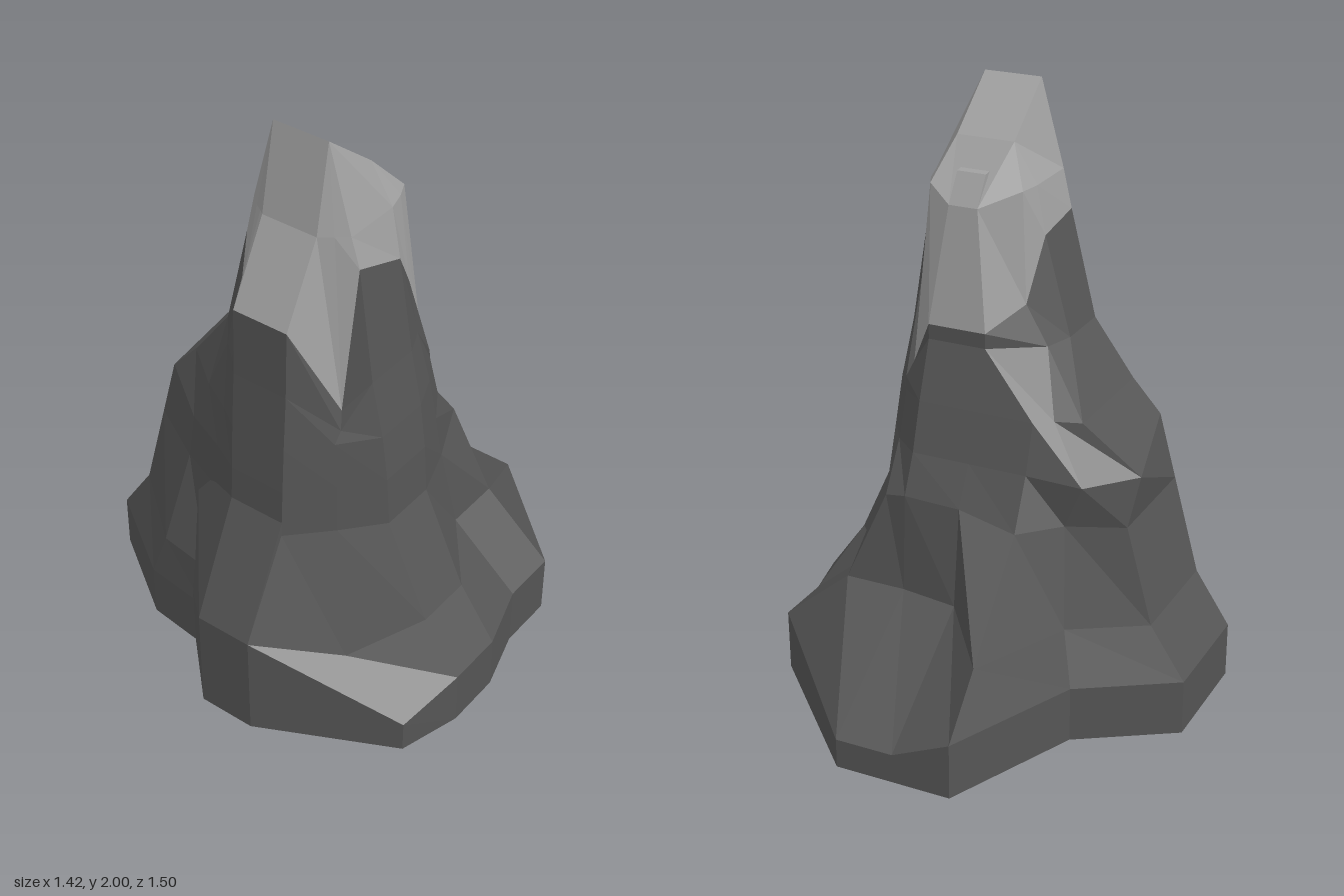
import * as THREE from 'three';
import { ConvexGeometry } from 'three/addons/geometries/ConvexGeometry.js';

// Ring bounds: [y, xLow, xHigh, zBack, zFront]
const RINGS = [
  [0, -0.71, 0.71, -0.75, 0.75],
  [0.19, -0.71, 0.71, -0.75, 0.75],
  [0.37, -0.59, 0.58, -0.58, 0.75],
  [0.70, -0.50, 0.43, -0.29, 0.57],
  [0.87, -0.46, 0.42, -0.21, 0.56],
  [1.03, -0.34, 0.40, -0.16, 0.55],
  [1.22, -0.20, 0.36, -0.09, 0.535],
  [1.45, -0.11, 0.31, -0.09, 0.525],
  [1.71, -0.08, 0.28, -0.04, 0.38],
  [2, 0, 0.2, 0.12, 0.32],
];
const SNOW = 7; // ring where the snow line runs
const TOP = RINGS.length - 1;

// Columns around the mountain: x side, z side, then how far each point
// reaches from the inner flat (0) to the outer bound (1), first at the
// foot and then, for corners, on the steeper slopes above
const COLUMNS = [
  [1, -1, 1, 0], [1, 1, 1, 0], [1, 1, 0.88, 0.49, 0.53, 0.5],
  [1, 1, 0, 1], [-1, 1, 0, 1], [-1, 1, 0.22, 0.56, 0.22, 0.78], [-1, 1, 0.56, 0.49, 0.56, 0.5],
  [-1, 1, 1, 0], [-1, -1, 1, 0], [-1, -1, 0.39, 0.3, 0.39, 0.39],
  [-1, -1, 0, 1], [0, -1, 0, 1], [1, -1, 0, 1],
  [1, -1, 0.88, 0.47, 0.42, 0.76], [1, -1, 0.88, 0.24, 0.75, 0.42],
];

// Height of the jagged snow line at each column
const SNOW_LINE = [1.54, 1.61, 1.12, 1.45, 1.45, 1.4, 1.4, 1.58, 1.55, 1.35, 1.27, 1.27, 1.27, 1.12, 1.4];

// Irregular points, keyed by ring and column
const CRAGS = {
  '1,2': [0.65, 0.11, 0.53], '2,2': [0.42, 0.28, 0.53], // front gully
  '1,11': [0, 0.1, -0.75], '1,12': [0.2, 0.1, -0.75], // rear shelf
  '2,11': [0, 0.41, -0.32], '2,12': [0.2, 0.41, -0.29],
  '1,13': [0.65, 0.21, -0.29], '1,14': [0.65, 0.21, -0.09], // rear step
  '2,13': [0.41, 0.41, -0.29], '2,14': [0.41, 0.41, -0.09],
  '3,11': [0, 0.74, -0.28], '3,12': [0.2, 0.74, -0.27],
  '3,13': [0.28, 0.72, -0.25], '3,14': [0.37, 0.7, -0.05],
  '4,7': [-0.44, 0.92, 0.32], // overhanging shoulder
  '4,8': [-0.53, 0.87, -0.06], '4,9': [-0.38, 0.85, -0.18],
  '6,2': [0.31, 1.07, 0.41], '7,2': [0.29, 1.12, 0.38], // snow fangs
  '6,13': [0.29, 1.07, -0.08], '7,13': [0.27, 1.12, -0.06],
  '8,10': [0.05, 1.66, -0.04], '8,11': [0.05, 1.66, -0.04], '8,12': [0.15, 1.66, -0.04],
};

function ringPoint(j, i) {
  const crag = CRAGS[`${j},${i}`];
  if (crag) return new THREE.Vector3(...crag);
  const { clamp, lerp } = THREE.MathUtils;
  const [y, x0, x1, z0, z1] = RINGS[j];
  const [sx, sz, u, v, u2 = u, v2 = v] = COLUMNS[i];
  const upper = j >= 6; // the summit block is narrower at the back
  const flatX = clamp(sx > 0 ? 0.2 : sx === 0 || sz > 0 || upper ? 0 : -0.2, x0, x1);
  const flatZ = clamp(sz > 0 ? 0.32 : sx > 0 || upper ? 0.12 : -0.09, z0, z1);
  let [uu, vv] = j >= 3 ? [u2, v2] : [u, v];
  if (upper && i === 9) [uu, vv] = [0.85, 0.5];
  const x = lerp(flatX, sx > 0 ? x1 : x0, uu);
  const z = lerp(flatZ, sz > 0 ? z1 : z0, vv);
  let py = y;
  if (j === SNOW) py = SNOW_LINE[i];
  if (j === TOP) py -= 0.8 * (0.32 - z); // summit slopes back
  return new THREE.Vector3(x, py, z);
}

function loft(from, to, capBottom, capTop) {
  const rings = [];
  for (let j = from; j <= to; j++) rings.push(COLUMNS.map((c, i) => ringPoint(j, i)));
  const pts = [];
  const n = COLUMNS.length;
  const centre = (ring) =>
    ring.reduce((s, p) => s.add(p), new THREE.Vector3()).divideScalar(n);
  for (let i = 0; i < n; i++) {
    const m = (i + 1) % n;
    for (let j = 0; j < rings.length - 1; j++) {
      const a = rings[j][i], b = rings[j][m];
      const c = rings[j + 1][i], d = rings[j + 1][m];
      pts.push(a, c, d, a, d, b);
    }
    const low = rings[0], high = rings[rings.length - 1];
    if (capBottom) pts.push(centre(low), low[i], low[m]);
    if (capTop) pts.push(centre(high), high[m], high[i]);
  }
  const g = new THREE.BufferGeometry().setFromPoints(pts);
  g.computeVertexNormals();
  return g;
}

function hull(points) {
  return new ConvexGeometry(points.map((p) => new THREE.Vector3(...p)));
}

export function createModel() {
  const group = new THREE.Group();
  group.name = 'mountain';
  const rock = new THREE.MeshStandardMaterial({ color: 0x555555, flatShading: true });
  const snow = new THREE.MeshStandardMaterial({ color: 0xa0a0a0, flatShading: true });
  const add = (name, geometry, material) => {
    const mesh = new THREE.Mesh(geometry, material);
    mesh.name = name;
    group.add(mesh);
  };

  add('rockSlopes', loft(0, SNOW, true, false), rock);
  add('snowCap', loft(SNOW, TOP, false, true), snow);

  // Narrow buttress climbing the front face
  add('frontButtress', hull([
    [0, 0.37, 0.75], [0.2, 0.37, 0.75], [0, 0.7, 0.575], [0.2, 0.7, 0.575],
    [0, 0.89, 0.5], [0.2, 0.89, 0.5], [-0.2, 0.63, 0.5], [-0.2, 0.21, 0.555],
    [-0.2, 0, 0.555], [0, 0, 0.75], [0.2, 0, 0.75], [0.2, 0.3, 0.4],
  ]), rock);

  // Small ledge behind the summit
  add('summitLedge', hull([
    [0.05, 1.76, 0.07], [0.15, 1.76, 0.07], [0.05, 1.755, 0.02], [0.15, 1.755, 0.02],
    [0.05, 1.66, -0.04], [0.15, 1.66, -0.04], [0.05, 1.6, 0.1], [0.15, 1.6, 0.1],
  ]), snow);

  return group;
}
